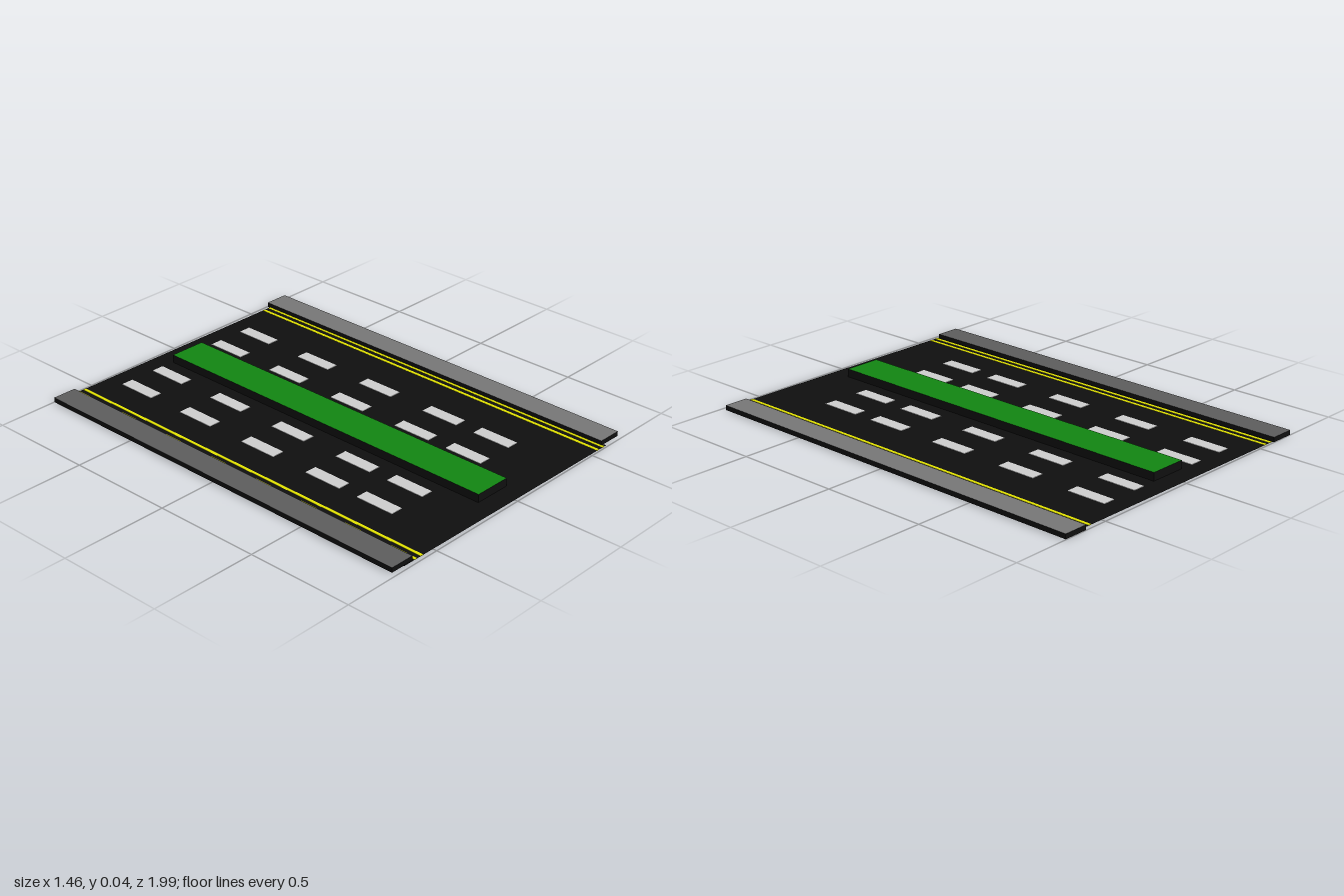
import * as THREE from 'three';

const paint = (color) => new THREE.MeshStandardMaterial({ color });

const asphalt = paint(0x0f0f0f);
const white = paint(0xcccccc);
const yellow = paint(0xe0e000);
const grass = paint(0x128412);

// Box given by its centre in x and z, and its bottom and top heights
function slab(name, x, z, width, length, bottom, top, material) {
  const mesh = new THREE.Mesh(new THREE.BoxGeometry(width, top - bottom, length), material);
  mesh.position.set(x, (bottom + top) / 2, z);
  mesh.name = name;
  return mesh;
}

// Materials for a box with dark sides: +x, -x, top, bottom, +z, -z
const darkSided = (top, bottom) => [asphalt, asphalt, top, bottom, asphalt, asphalt];

export function createModel() {
  const model = new THREE.Group();
  model.name = 'roadSection';
  const length = 1.975;

  // Road surface: a thin sheet, seen from both sides
  const sheet = paint(0x0f0f0f);
  sheet.side = THREE.DoubleSide;
  const road = new THREE.Mesh(new THREE.PlaneGeometry(1.276, length), sheet);
  road.rotation.x = -Math.PI / 2;
  road.position.set(-0.022, 0.002, 0);
  road.name = 'roadSurface';
  model.add(road);

  // Raised pavements along both edges
  model.add(slab('rightPavement', -0.665, -0.005, 0.115, length, 0, 0.022, darkSided(paint(0x5c5c5c), asphalt)));
  model.add(slab('leftPavement', 0.66, -0.016, 0.115, length, 0, 0.022, darkSided(paint(0x757575), asphalt)));

  // Planted central strip
  model.add(slab('centralStrip', -0.022, 0, 0.177, 1.79, 0, 0.04, darkSided(grass, grass)));

  // Double yellow edge lines
  for (const x of [-0.592, -0.557, 0.56, 0.596]) {
    model.add(slab('edgeLine', x, 0, 0.015, length, 0.001, 0.003, yellow));
  }

  // Dashed lane markings, two rows on each carriageway
  const lanes = new THREE.Group();
  lanes.name = 'laneMarkings';
  for (const x of [-0.383, -0.202, 0.163, 0.345]) {
    for (const z of [-0.805, -0.43, -0.05, 0.325, 0.61]) {
      lanes.add(slab('laneDash', x, z, 0.06, 0.19, 0, 0.004, white));
    }
  }
  model.add(lanes);

  // The whole section sits at a very slight angle
  model.rotation.y = -0.009;
  const group = new THREE.Group();
  group.add(model);
  return group;
}
